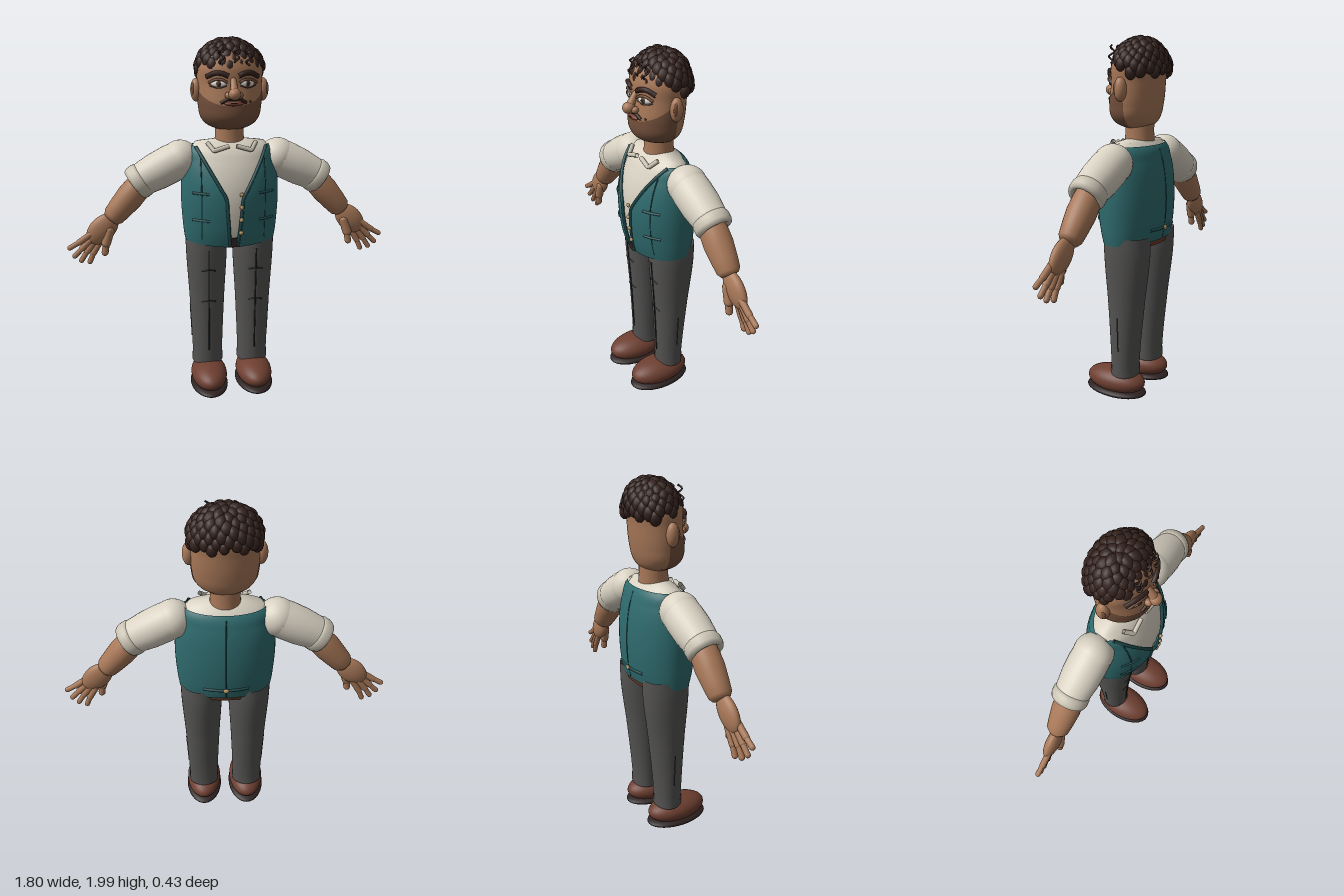
import * as THREE from 'three';
import { ParametricGeometry } from 'three/addons/geometries/ParametricGeometry.js';

const C = { skin: 0xa87858, beard: 0x74503c, hair: 0x35231e, vest: 0x2f6b6e, trim: 0x1f4a4d, shirt: 0xd9d2c3,
  cuff: 0xcbc4b4, trousers: 0x555453, seam: 0x2b2a2a, shoe: 0x6e3f31, sole: 0x2c2020, belt: 0x6a3a26,
  brass: 0xb59a6a, white: 0xe8e4dc, iris: 0x5a3420, lip: 0x7a4636 };
const V = (x, y, z) => new THREE.Vector3(x, y, z);
const lerp = THREE.MathUtils.lerp;
const mat = (color) => new THREE.MeshStandardMaterial({ color, side: THREE.DoubleSide });

function add(parent, name, geo, color) {
  const m = new THREE.Mesh(geo, mat(color));
  m.name = name;
  parent.add(m);
  return m;
}

// A body is a stack of oval sections: [y, half width, front z, back z]
function body(rows, zc) {
  const f = new THREE.CubicInterpolant(rows.map((r) => r[0]), rows.flatMap((r) => r.slice(1)), 3);
  const at = (a, y, grow = 0) => {
    const [w, zf, zb] = f.evaluate(y);
    const c = Math.cos(a);
    return V((w + grow) * Math.sin(a), y, zc + c * (grow + (c > 0 ? zf - zc : zc - zb)));
  };
  const angle = (x, y) => Math.asin(THREE.MathUtils.clamp(x / f.evaluate(y)[0], -1, 1));
  // point on the front (or back) at a given x and y
  const on = (x, y, grow = 0, back = false) => at(back ? Math.PI - angle(x, y) : angle(x, y), y, grow);
  return { at, angle, on, y0: rows[0][0], y1: rows[rows.length - 1][0] };
}
const loft = (fn, nu = 40, nv = 28) => new ParametricGeometry((u, v, t) => t.copy(fn(u, v)), nu, nv);
const fullLoft = (b, grow = 0, y0 = b.y0, y1 = b.y1) =>
  loft((u, v) => b.at(u * Math.PI * 2, lerp(y0, y1, v), grow));

function tube(parent, name, pts, r, color, straight = false) {
  let curve = new THREE.CatmullRomCurve3(pts);
  if (straight) {
    curve = new THREE.CurvePath();
    for (let i = 1; i < pts.length; i++) curve.add(new THREE.LineCurve3(pts[i - 1], pts[i]));
  }
  return add(parent, name, new THREE.TubeGeometry(curve, 24, r, 8), color);
}
function ball(parent, name, p, r, color, seg = 24) {
  const m = add(parent, name, new THREE.SphereGeometry(1, seg, Math.ceil(seg * 0.66)), color);
  m.position.copy(p);
  m.scale.set(...r);
  return m;
}
// Turned shape from p0 to p1 with a profile of [fraction, radius]
function spindle(parent, name, p0, p1, profile, color) {
  const d = p1.clone().sub(p0), len = d.length();
  const geo = new THREE.LatheGeometry(profile.map(([t, r]) => new THREE.Vector2(r, t * len)), 28);
  const m = add(parent, name, geo, color);
  m.position.copy(p0);
  m.quaternion.setFromUnitVectors(V(0, 1, 0), d.normalize());
  return m;
}
function capsule(parent, name, p0, p1, r, color) {
  const d = p1.clone().sub(p0);
  const m = add(parent, name, new THREE.CapsuleGeometry(r, d.length(), 5, 12), color);
  m.position.copy(p0).add(p1).multiplyScalar(0.5);
  m.quaternion.setFromUnitVectors(V(0, 1, 0), d.normalize());
}

function makeTorso(g) {
  const torso = body([[0.86, 0.238, 0.11, -0.165], [0.9, 0.248, 0.125, -0.175], [1.0, 0.26, 0.148, -0.195],
    [1.2, 0.266, 0.158, -0.2], [1.35, 0.246, 0.118, -0.178], [1.43, 0.212, 0.07, -0.145],
    [1.458, 0.15, 0.03, -0.11], [1.465, 0.05, 0, -0.06]], -0.03);
  add(g, 'shirt', fullLoft(torso, -0.012, 0.93), C.shirt);
  // Waistcoat, open at the front in a V
  const gap = (y) => (y < 1.17 ? lerp(0.02, 0.045, (y - 0.885) / 0.285) : lerp(0.045, 0.19, (y - 1.17) / 0.26));
  add(g, 'waistcoat', loft((u, v) => {
    const y = lerp(0.885 + 0.035 * Math.sin(Math.PI * u), 1.43, v);
    const a = torso.angle(gap(y), y);
    return torso.at(lerp(a, Math.PI * 2 - a, u), y, 0.003);
  }, 64, 44), C.vest);
  for (const s of [-1, 1]) {
    const ys = [0.89, 1.0, 1.1, 1.165, 1.22, 1.3, 1.37, 1.425];
    tube(g, 'waistcoatEdge', ys.map((y) => torso.on(s * gap(y), y, 0.003)), 0.009, C.trim);
    tube(g, 'frontSeam', [0.93, 1.05, 1.2, 1.3, 1.37].map((y) => torso.on(s * 0.17, y, 0.001)), 0.004, C.trim);
    for (const y of [1.04, 1.19])
      tube(g, 'pocketWelt', [0.13, 0.17, 0.215].map((x) => torso.on(s * x, y, 0.004)), 0.007, C.trim);
    // Turned-down collar points
    tube(g, 'collar', [V(s * 0.13, 1.45, 0.045), V(s * 0.1, 1.412, 0.085), V(s * 0.02, 1.435, 0.08)],
      0.012, C.cuff, true);
  }
  for (const y of [0.975, 1.05, 1.12, 1.19]) ball(g, 'button', torso.on(0.033, y, 0.012), [0.012, 0.012, 0.009], C.brass, 12);
  // Back seam and cinch strap
  tube(g, 'backSeam', [0.93, 1.05, 1.2, 1.33, 1.41].map((y) => torso.at(Math.PI, y, 0.002)), 0.004, C.trim);
  tube(g, 'backStrap', [-0.12, -0.06, 0, 0.06, 0.12].map((x) => torso.on(x, 0.985, 0.003, true)), 0.009, C.trim);
  ball(g, 'strapBuckle', torso.at(Math.PI, 0.985, 0.01), [0.016, 0.013, 0.008], C.brass, 12);
  // Hips, belt and buckle
  add(g, 'belt', fullLoft(torso, -0.006, 0.89, 0.935), C.belt);
  ball(g, 'hips', V(0, 0.92, -0.03), [0.23, 0.065, 0.135], C.trousers);
  const buckle = add(g, 'beltBuckle', new THREE.BoxGeometry(0.045, 0.05, 0.015), C.sole);
  buckle.position.set(0, 0.915, 0.128);
  spindle(g, 'neck', V(0, 1.43, -0.04), V(0, 1.56, -0.04), [[0, 0.082], [0.5, 0.077], [1, 0.078]], C.skin);
}

function makeHead(g) {
  const head = body([[1.515, 0.07, 0.03, -0.09], [1.535, 0.115, 0.075, -0.118], [1.57, 0.15, 0.105, -0.138],
    [1.64, 0.167, 0.114, -0.155], [1.75, 0.172, 0.1, -0.167], [1.85, 0.17, 0.095, -0.17],
    [1.92, 0.125, 0.055, -0.135], [1.95, 0.05, 0, -0.08]], -0.03);
  add(g, 'head', fullLoft(head), C.skin);
  // Shaded jaw, rising to the sideburns
  add(g, 'stubble', loft((u, v) => {
    const k = u * 2 - 1;
    return head.at(k * 1.65, lerp(1.518, 1.645 + 0.12 * k * k, v), 0.003);
  }), C.beard);
  for (const s of [-1, 1]) {
    ball(g, 'ear', V(s * 0.178, 1.72, -0.03), [0.032, 0.062, 0.034], C.skin);
    ball(g, 'earHollow', V(s * 0.198, 1.725, -0.016), [0.01, 0.035, 0.016], C.beard, 12);
    const eye = head.on(s * 0.074, 1.76, 0);
    ball(g, 'eye', eye, [0.042, 0.021, 0.016], C.white).rotation.y = s * 0.4;
    ball(g, 'iris', eye.clone().add(V(-s * 0.002, 0, 0.011)), [0.017, 0.017, 0.008], C.iris, 14);
    ball(g, 'pupil', eye.clone().add(V(-s * 0.002, 0, 0.017)), [0.008, 0.008, 0.004], C.sole, 10);
    tube(g, 'eyelid', [0.03, 0.055, 0.09, 0.118].map((x, i) =>
      head.on(s * x, [1.765, 1.779, 1.779, 1.763][i], 0.011)), 0.007, C.beard);
    tube(g, 'lowerLid', [0.035, 0.074, 0.115].map((x, i) => head.on(s * x, i === 1 ? 1.739 : 1.75, 0.007)), 0.004, C.beard);
    tube(g, 'eyebrow', [0.025, 0.055, 0.09, 0.13].map((x, i) =>
      head.on(s * x, [1.797, 1.81, 1.812, 1.793][i], 0.006)), 0.013, C.hair);
    ball(g, 'nostril', V(s * 0.028, 1.702, 0.118), [0.02, 0.018, 0.02], C.skin, 16);
    tube(g, 'moustache', [0, 0.03, 0.065].map((x, i) =>
      head.on(s * x, [1.682, 1.682, 1.663][i], 0.006)), 0.008, C.hair);
  }
  spindle(g, 'noseBridge', V(0, 1.79, 0.09), V(0, 1.71, 0.135), [[0, 0], [0.1, 0.014], [1, 0.024]], C.skin);
  ball(g, 'noseTip', V(0, 1.709, 0.137), [0.032, 0.03, 0.033], C.skin);
  ball(g, 'lips', head.on(0, 1.659, 0.002), [0.05, 0.012, 0.014], C.lip);
  tube(g, 'mouthLine', [-0.06, 0, 0.06].map((x) => head.on(x, 1.662, x ? 0.003 : 0.015)), 0.003, C.sole);
  ball(g, 'mole', head.on(0.088, 1.667, 0.003), [0.006, 0.006, 0.005], C.sole, 8);
}

function makeHair(g) {
  const hair = new THREE.Group();
  hair.name = 'hair';
  g.add(hair);
  const c = V(0, 1.815, -0.052);
  const cap = add(hair, 'hairCap', new THREE.SphereGeometry(1, 32, 12, 0, Math.PI * 2, 0, Math.PI / 2), C.hair);
  cap.position.set(0, 1.84, -0.055);
  cap.scale.set(0.178, 0.135, 0.135);
  // Curls spread evenly over the skull above the hairline
  const n = 190;
  for (let i = 0; i < n; i++) {
    const t = 1 - (2 * (i + 0.5)) / n, r = Math.sqrt(1 - t * t), a = i * 2.39996;
    const d = V(r * Math.cos(a), t, r * Math.sin(a));
    if (t < (d.z > 0.25 ? 0.19 : d.z > -0.2 ? 0.06 : -0.1)) continue;
    const k = 1 + 0.12 * Math.sin(i * 5.3);
    const p = c.clone().add(V(d.x * 0.172, d.y * 0.152, d.z * 0.128));
    const curl = ball(hair, 'curl', p, [0.029 * k, 0.036 * k, 0.025 * k], C.hair, 12);
    curl.lookAt(p.clone().add(d));
  }
  // Loose ringlets at the forehead
  for (const x of [-0.06, 0.02, 0.08]) {
    const pts = Array.from({ length: 14 }, (_, i) =>
      V(x + 0.012 * Math.cos(i * 0.9), 1.94 - i * 0.007, 0.075 + i * 0.0015 + 0.012 * Math.sin(i * 0.9)));
    tube(hair, 'ringlet', pts, 0.005, C.hair);
  }
}

function makeArm(g, s) {
  const arm = new THREE.Group();
  arm.name = s > 0 ? 'leftArm' : 'rightArm';
  g.add(arm);
  const P = (x, y, z = -0.042) => V(s * x, y, z);
  ball(arm, 'shoulder', P(0.27, 1.352), [0.103, 0.103, 0.104], C.shirt);
  spindle(arm, 'sleeve', P(0.26, 1.357), P(0.51, 1.23),
    [[0, 0.1], [0.25, 0.104], [0.55, 0.102], [0.85, 0.092], [1, 0.086], [1, 0.05]], C.shirt);
  spindle(arm, 'rolledCuff', P(0.462, 1.258), P(0.522, 1.214),
    [[0, 0.075], [0.05, 0.09], [0.3, 0.097], [0.7, 0.097], [0.95, 0.09], [1, 0.072], [0.8, 0.06]], C.cuff);
  spindle(arm, 'forearm', P(0.47, 1.24), P(0.65, 1.035),
    [[0, 0.066], [0.2, 0.073], [0.45, 0.075], [0.75, 0.067], [0.95, 0.06], [1.03, 0.045], [1.06, 0]], C.skin);
  // Hand with four fingers and a thumb
  const palm = ball(arm, 'palm', P(0.705, 0.975, -0.037), [0.068, 0.105, 0.036], C.skin);
  palm.rotation.z = s * 0.8;
  const fingers = [[0.785, 0.935, 0.885, 0.878], [0.778, 0.912, 0.862, 0.828], [0.762, 0.898, 0.828, 0.799], [0.738, 0.888, 0.783, 0.787]];
  fingers.forEach(([x0, y0, x1, y1], i) => {
    const z = -0.028 - i * 0.006, mid = P(lerp(x0, x1, 0.5), lerp(y0, y1, 0.5), z);
    capsule(arm, 'fingerBase', P(x0 - 0.02, y0 + 0.02, z), mid, 0.0175, C.skin);
    capsule(arm, 'fingerTip', mid, P(x1, y1, z), 0.0145, C.skin);
  });
  capsule(arm, 'thumbBase', P(0.665, 0.97, -0.022), P(0.688, 0.9, -0.018), 0.026, C.skin);
  capsule(arm, 'thumbTip', P(0.688, 0.9, -0.018), P(0.697, 0.845, -0.018), 0.019, C.skin);
}

function makeLeg(g, s) {
  const leg = new THREE.Group();
  leg.name = s > 0 ? 'leftLeg' : 'rightLeg';
  leg.position.x = s * 0.133;
  g.add(leg);
  const b = body([[0.14, 0.085, 0.046, -0.104], [0.2, 0.086, 0.048, -0.105], [0.55, 0.1, 0.064, -0.138],
    [0.85, 0.116, 0.086, -0.172], [0.95, 0.116, 0.088, -0.172]], -0.035);
  add(leg, 'trouserLeg', fullLoft(b), C.trousers);
  add(leg, 'hem', fullLoft(b, 0.004, 0.145, 0.185), C.trousers);
  tube(leg, 'crease', [0.24, 0.4, 0.6, 0.86].map((y) => b.at(0, y, 0.001)), 0.004, C.seam);
  tube(leg, 'sideSeam', [0.3, 0.4, 0.5].map((y) => b.at(s * Math.PI / 2, y)), 0.003, C.seam);
  for (const y of [0.545, 0.735])
    tube(leg, 'wrinkle', [-0.04, 0, 0.04].map((x) => b.on(x, y + (x ? 0 : 0.008), 0)), 0.004, C.seam);
  // Rounded shoe on a dark sole
  ball(leg, 'shoe', V(0, 0.09, 0.033), [0.103, 0.074, 0.18], C.shoe, 32);
  ball(leg, 'sole', V(0, 0.03, 0.033), [0.108, 0.03, 0.187], C.sole, 32);
}

export function createModel() {
  const g = new THREE.Group();
  g.name = 'standingMan';
  makeTorso(g);
  makeHead(g);
  makeHair(g);
  for (const s of [-1, 1]) {
    makeArm(g, s);
    makeLeg(g, s);
  }
  return g;
}
